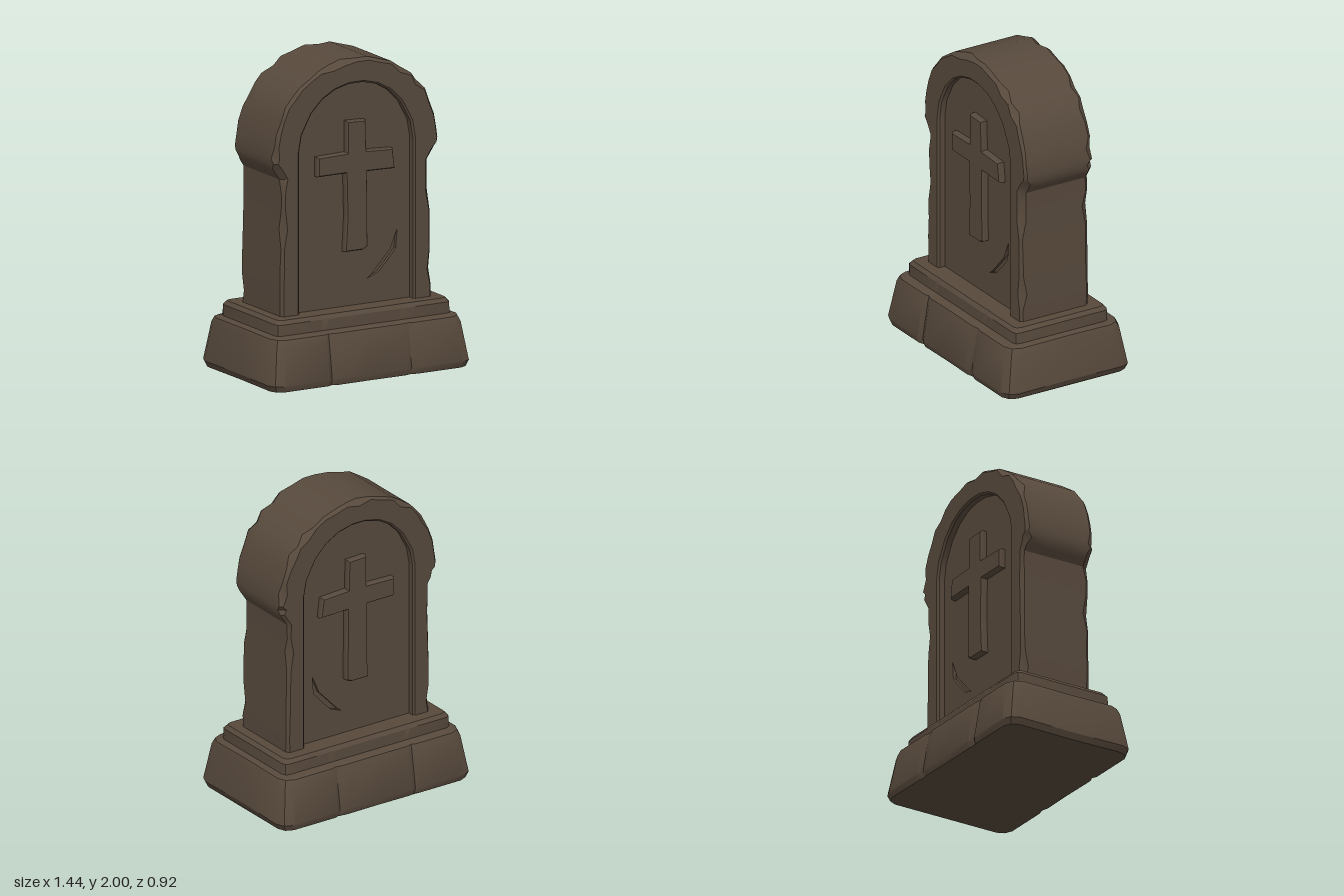
import * as THREE from 'three';
import { toCreasedNormals } from 'three/addons/utils/BufferGeometryUtils.js';

const stone = new THREE.MeshStandardMaterial({ color: 0x57493c });
stone.name = 'weathered stone';

// Small seeded generator for the wear on the edges
let seed = 7;
const rand = () => (seed = (seed * 16807) % 2147483647) / 2147483647;

function add(parent, name, geometry) {
  const mesh = new THREE.Mesh(geometry, stone);
  mesh.name = name;
  parent.add(mesh);
  return mesh;
}

// Skin a list of rings of [x, y, z] points; cap fills the first and last ring
function loft(rings, { closed = false, cap = false, crease = 0.55 } = {}) {
  const n = rings[0].length;
  const index = [];
  for (let i = 0; i < rings.length - 1; i++) {
    for (let j = 0; j < (closed ? n : n - 1); j++) {
      const k = (j + 1) % n;
      const a = i * n + j, b = i * n + k, c = (i + 1) * n + k, d = (i + 1) * n + j;
      index.push(a, b, c, a, c, d);
    }
  }
  if (cap) {
    const top = (rings.length - 1) * n;
    for (let j = 1; j < n - 1; j++) index.push(0, j + 1, j, top, top + j, top + j + 1);
  }
  const g = new THREE.BufferGeometry();
  g.setAttribute('position', new THREE.Float32BufferAttribute(rings.flat(2), 3));
  g.setIndex(index);
  return toCreasedNormals(g, crease);
}

// Rectangle with cut corners, counter-clockwise from above, nicked along its long sides
function blockRing(y, w, d, cut, wear) {
  const xs = [-0.32, -0.29, -0.25, 0, 0.23, 0.28, 0.32];
  const nick = [0, 1, 0, 0.2, 0, 0.8, 0];
  const side = (s) => xs.map((x, i) => [x, y, s * (d - wear * nick[i])]);
  const corner = (sx, sz) => [
    [sx * w, y, sz * (d - cut)],
    [sx * (w - cut * 0.3), y, sz * (d - cut * 0.32)],
    [sx * (w - cut), y, sz * d],
  ];
  return [
    ...corner(1, -1), ...side(-1).reverse(), ...corner(-1, -1).reverse(),
    [-w + wear * 0.4, y, 0.02],
    ...corner(-1, 1), ...side(1), ...corner(1, 1).reverse(),
    [w - wear * 0.5, y, -0.01],
  ];
}

// Mirror a right-hand half outline over the crown and halve each segment
function fullOutline(half) {
  const pts = [...half, ...half.map(([x, y]) => [-x, y]).reverse()];
  return pts.flatMap(([x, y], i) => {
    const q = pts[i + 1];
    return q ? [[x, y], [(x + q[0]) / 2, (y + q[1]) / 2]] : [[x, y]];
  });
}

// Arched frame running around both faces of the slab
function frameGeometry() {
  const outer = fullOutline([[0.54, 0.4], [0.54, 0.6], [0.535, 0.85], [0.53, 1.1], [0.53, 1.29],
    [0.58, 1.365], [0.59, 1.43], [0.565, 1.58], [0.5, 1.75], [0.4, 1.86], [0.26, 1.95], [0.09, 2]]);
  const inner = fullOutline([[0.41, 0.4], [0.41, 0.6], [0.41, 0.85], [0.41, 1.1], [0.41, 1.3],
    [0.41, 1.37], [0.41, 1.45], [0.39, 1.56], [0.32, 1.69], [0.24, 1.77], [0.15, 1.82], [0.05, 1.845]]);
  const inset = (pts, amount) => pts.map(([x, y], i) => {
    const a = pts[Math.max(i - 1, 0)], b = pts[Math.min(i + 1, pts.length - 1)];
    const dx = b[0] - a[0], dy = b[1] - a[1], l = Math.hypot(dx, dy);
    return [x - (dy / l) * amount[i], y + (dx / l) * amount[i]];
  });
  const at = (pts, z) => pts.map(([x, y], i) => [x, y, Array.isArray(z) ? z[i] : z]);
  const flat = (v) => outer.map(() => v);
  const half = (s) => {
    // Each edge point gets a small bevel, some a deeper chip
    const chip = outer.map((p, i) => (rand() > 0.8 || (s > 0 && i === 24) ? 0.035 : 0.012 + rand() * 0.008));
    return [
      at(outer, s * 0.13),
      at(outer, chip.map((c) => s * (0.25 - c * 1.3))),
      at(inset(outer, chip), s * 0.25),
      at(inset(inner, flat(-0.012)), s * 0.25),
      at(inner, s * 0.238),
      at(inner, s * 0.17),
    ];
  };
  return loft([...half(-1).reverse(), ...half(1)]);
}

// Arch-topped panel outline, with optional shard-shaped break
function panelShape(side) {
  const shape = new THREE.Shape();
  shape.moveTo(-0.42, 0.4);
  shape.lineTo(0.42, 0.4);
  shape.lineTo(0.42, 1.45);
  shape.absellipse(0, 1.45, 0.42, 0.405, 0, Math.PI, false);
  shape.closePath();
  const shard = [[0.32, 0.87], [0.27, 0.75], [0.13, 0.6], [0.1, 0.58], [0.18, 0.61], [0.24, 0.67], [0.31, 0.75]];
  shape.holes.push(new THREE.Path(shard.map(([x, y]) => new THREE.Vector2(x * side, y))));
  return shape;
}

function crossShape(side) {
  const pts = [[-0.055, 1.6], [0.065, 1.595], [0.07, 1.4], [0.26, 1.39], [0.275, 1.275], [0.075, 1.28],
    [0.08, 0.8], [0.05, 0.785], [-0.07, 0.785], [-0.058, 1.0], [-0.065, 1.285], [-0.265, 1.285],
    [-0.265, 1.395], [-0.055, 1.4]];
  return new THREE.Shape(pts.map(([x, y]) => new THREE.Vector2(x * side, y)));
}

export function createModel() {
  const group = new THREE.Group();
  group.name = 'gravestone';

  // Sloping foot block
  add(group, 'footBlock', loft([
    blockRing(0, 0.7, 0.445, 0.07, 0.015),
    blockRing(0.04, 0.72, 0.46, 0.08, 0.02),
    blockRing(0.28, 0.685, 0.42, 0.08, 0.018),
    blockRing(0.318, 0.67, 0.405, 0.08, 0.012),
    blockRing(0.33, 0.64, 0.37, 0.07, 0),
  ], { closed: true, cap: true }));

  // Narrower step above it
  add(group, 'plinthStep', loft([
    blockRing(0.32, 0.628, 0.345, 0.035, 0),
    blockRing(0.4, 0.625, 0.343, 0.035, 0.004),
    blockRing(0.425, 0.605, 0.325, 0.035, 0.003),
  ], { closed: true, cap: true }));

  // Arched slab
  add(group, 'archedFrame', frameGeometry());

  // Recessed panel and raised cross on both faces
  for (const side of [1, -1]) {
    const face = new THREE.Group();
    face.name = side > 0 ? 'frontFace' : 'backFace';
    face.rotation.y = side > 0 ? 0 : Math.PI;
    group.add(face);

    const panel = new THREE.ExtrudeGeometry(panelShape(side), { depth: 0.025, bevelEnabled: false, curveSegments: 14 });
    add(face, 'recessedPanel', panel.translate(0, 0, 0.175));

    const backing = new THREE.PlaneGeometry(0.3, 0.4).translate(side * 0.2, 0.72, 0.178);
    add(face, 'panelBreak', backing);

    const cross = new THREE.ExtrudeGeometry(crossShape(side), {
      depth: 0.03, bevelThickness: 0.012, bevelSize: 0.008, bevelSegments: 1,
    });
    add(face, 'raisedCross', cross.translate(0, 0, 0.2));
  }
  return group;
}
